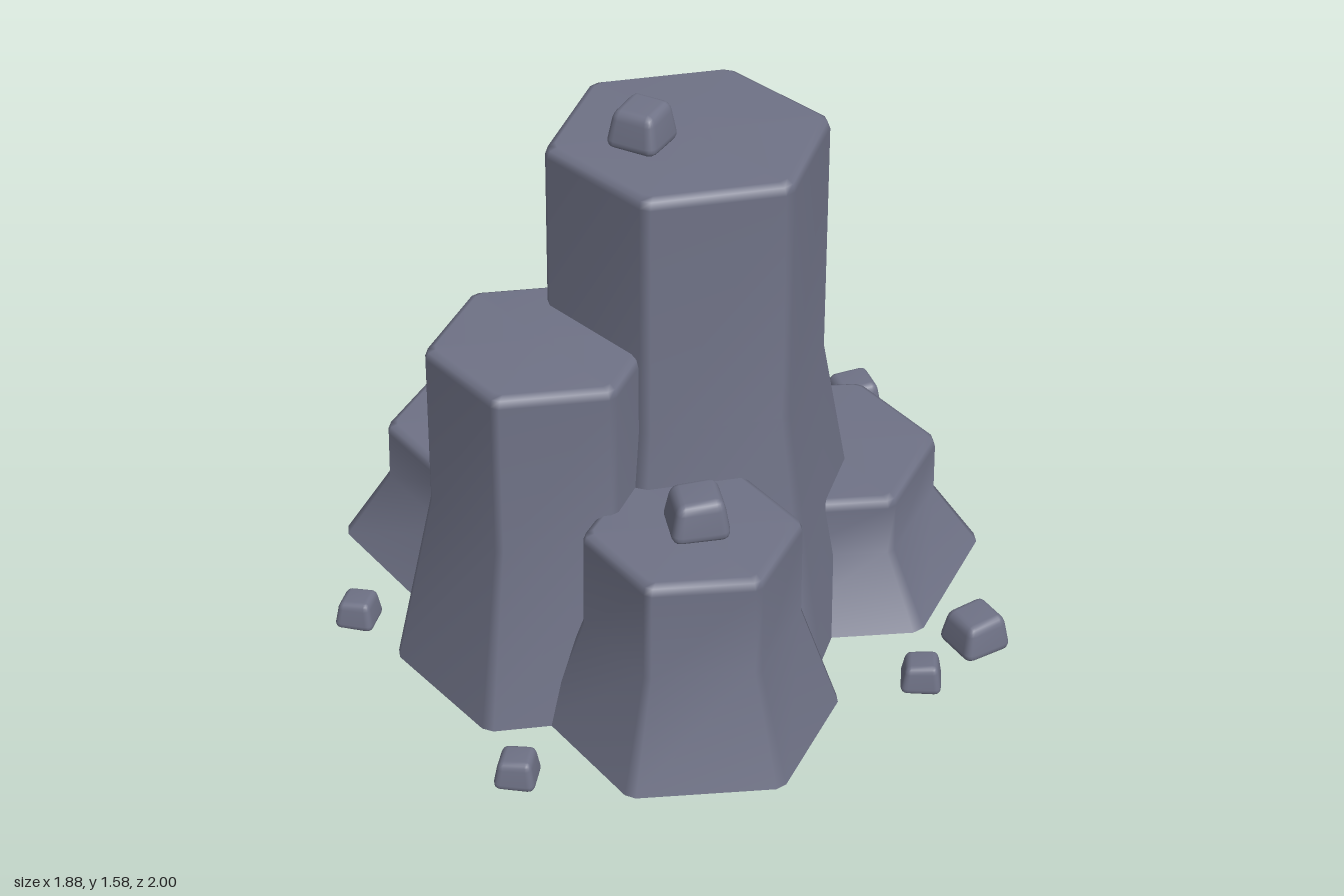
import * as THREE from 'three';
import { RoundedBoxGeometry } from 'three/addons/geometries/RoundedBoxGeometry.js';
import { mergeVertices } from 'three/addons/utils/BufferGeometryUtils.js';

// Hexagon outline with slightly clipped corners, as [x, z] pairs
function hexagon(radius, turn) {
  const corner = i => {
    const a = turn + i * Math.PI / 3;
    return new THREE.Vector2(Math.cos(a) * radius, Math.sin(a) * radius);
  };
  const points = [];
  for (let i = 0; i < 6; i++) {
    const here = corner(i);
    points.push(here.clone().lerp(corner(i - 1), 0.045), here.clone().lerp(corner(i + 1), 0.045));
  }
  return points;
}

// Straight upper shaft, flared foot and softened rim, lofted from hexagons
function columnGeometry(height, top, base, turnDegrees) {
  const turn = THREE.MathUtils.degToRad(turnDegrees);
  const rings = [
    [0, base], [0, base], [height * 0.52, top * 1.01], [height - 0.03, top],
    [height - 0.009, top - 0.008], [height, top - 0.028],
  ];
  const n = 12, positions = [], index = [];
  for (const [y, r] of rings) for (const p of hexagon(r, turn)) positions.push(p.x, y, p.y);
  const bottomCentre = rings.length * n, topCentre = bottomCentre + 1;
  positions.push(0, 0, 0, 0, height, 0);
  for (let i = 0; i < n; i++) {
    const j = (i + 1) % n;
    // The first ring belongs to the underside only, keeping that edge sharp
    index.push(bottomCentre, i, j);
    for (let k = 1; k < rings.length - 1; k++) {
      const a = k * n + i, b = k * n + j;
      index.push(a, a + n, b, b, a + n, b + n);
    }
    const last = (rings.length - 1) * n;
    index.push(topCentre, last + j, last + i);
  }
  const geometry = new THREE.BufferGeometry();
  geometry.setAttribute('position', new THREE.Float32BufferAttribute(positions, 3));
  geometry.setIndex(index);
  geometry.computeVertexNormals();
  return geometry;
}

// Rounded block narrowing towards its top, standing on y = 0
function pebbleGeometry(width, height) {
  let geometry = new RoundedBoxGeometry(width, height, width, 2, height * 0.24);
  geometry.deleteAttribute('normal');
  geometry.deleteAttribute('uv');
  geometry = mergeVertices(geometry, 1e-5);
  const p = geometry.attributes.position;
  for (let i = 0; i < p.count; i++) {
    const t = p.getY(i) / height + 0.5;
    const s = 1.04 - 0.26 * t;
    p.setXYZ(i, p.getX(i) * s, p.getY(i) + height / 2 + p.getX(i) * t * 0.06, p.getZ(i) * s);
  }
  geometry.computeVertexNormals();
  return geometry;
}

export function createModel() {
  const model = new THREE.Group();
  model.name = 'basaltColumns';
  const stone = new THREE.MeshStandardMaterial({ color: 0x6f7286 });
  stone.name = 'slate stone';

  // name, x, z, height, top radius, base radius, turn in degrees
  const columns = [
    ['centralColumn', 0.05, 0.08, 1.475, 0.387, 0.535, 8],
    ['leftColumn', -0.402, 0.19, 1.0, 0.312, 0.428, 12],
    ['backLeftColumn', -0.317, -0.375, 0.375, 0.362, 0.5, 15],
    ['backRightColumn', 0.296, -0.42, 0.61, 0.294, 0.413, 14],
    ['rightColumn', 0.457, 0.055, 0.375, 0.348, 0.49, 15],
    ['frontColumn', -0.135, 0.605, 0.61, 0.293, 0.407, 15],
  ];
  for (const [name, x, z, height, top, base, turn] of columns) {
    const mesh = new THREE.Mesh(columnGeometry(height, top, base, turn), stone);
    mesh.name = name;
    mesh.position.set(x, 0, z);
    model.add(mesh);
  }

  // name, x, y, z, width, height, turn in degrees
  const pebbles = [
    ['centralTopPebble', -0.083, 1.47, 0.09, 0.148, 0.112, 40],
    ['backRightTopPebble', 0.28, 0.605, -0.475, 0.148, 0.117, 60],
    ['frontTopPebble', -0.127, 0.605, 0.61, 0.158, 0.115, -10],
    ['backPebble', 0.018, 0, -0.938, 0.112, 0.085, 25],
    ['backRightPebble', 0.857, 0, -0.57, 0.152, 0.108, -3],
    ['leftPebble', -0.875, 0, -0.08, 0.112, 0.085, -35],
    ['frontLeftPebble', -0.67, 0, 0.717, 0.112, 0.085, -30],
    ['frontRightPebble', 0.488, 0, 0.732, 0.112, 0.085, -25],
    ['largeFrontRightPebble', 0.702, 0, 0.625, 0.15, 0.108, 10],
  ];
  for (const [name, x, y, z, width, height, turn] of pebbles) {
    const mesh = new THREE.Mesh(pebbleGeometry(width, height), stone);
    mesh.name = name;
    mesh.position.set(x, y, z);
    mesh.rotation.y = THREE.MathUtils.degToRad(turn);
    model.add(mesh);
  }
  return model;
}
